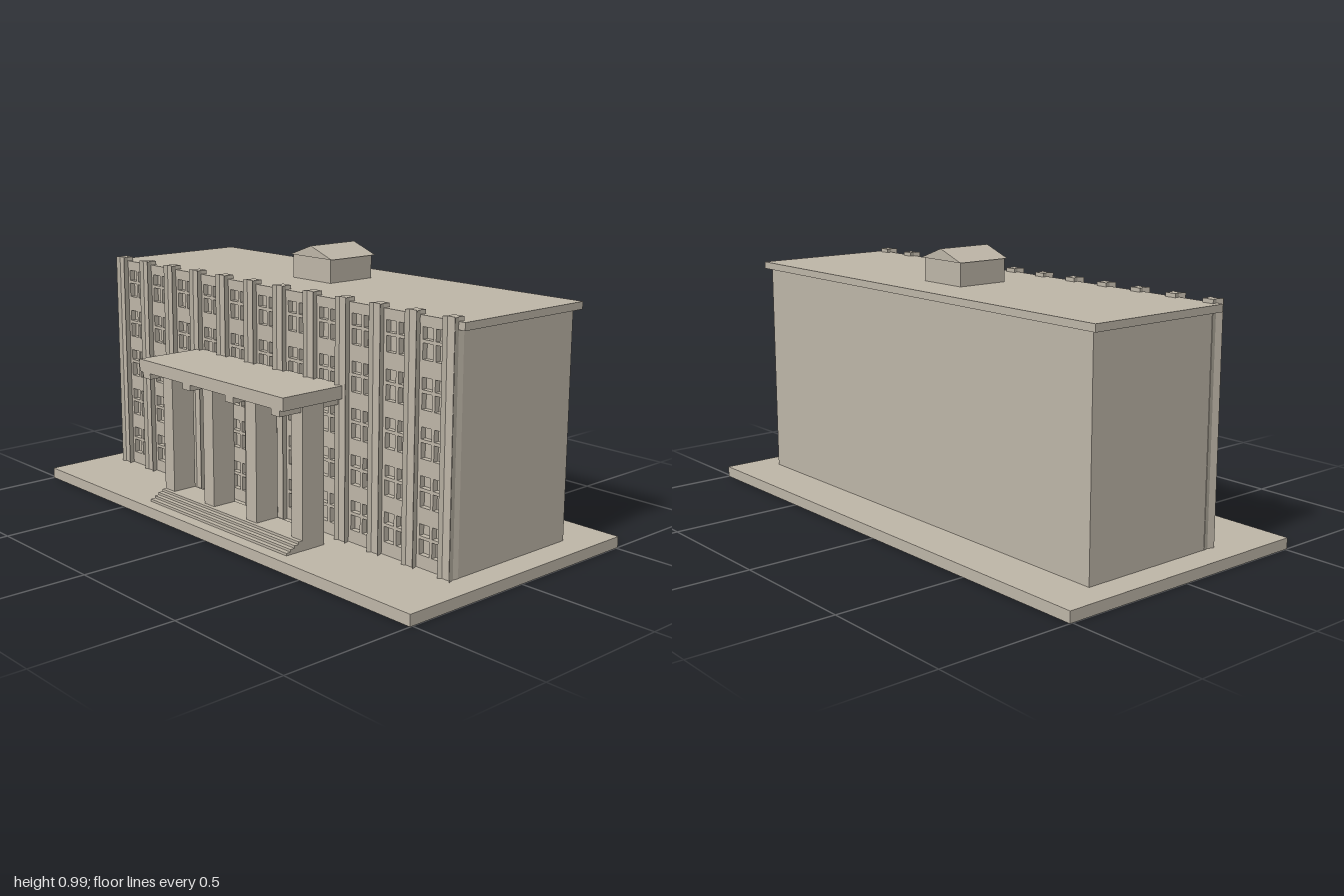
import * as THREE from 'three';

const stone = new THREE.MeshStandardMaterial({ color: 0xbdb5a7 });
stone.name = 'stone';

export function createModel() {
  const model = new THREE.Group();
  model.name = 'officeBuilding';

  const add = (name, geometry, x = 0, y = 0, z = 0) => {
    const mesh = new THREE.Mesh(geometry, stone);
    mesh.name = name;
    mesh.position.set(x, y, z);
    model.add(mesh);
    return mesh;
  };
  // Box given by its minimum and maximum on each axis
  const block = (name, x0, x1, y0, y1, z0, z1) =>
    add(name, new THREE.BoxGeometry(x1 - x0, y1 - y0, z1 - z0),
      (x0 + x1) / 2, (y0 + y1) / 2, (z0 + z1) / 2);
  const polygon = (points) => new THREE.Shape(points.map(([x, y]) => new THREE.Vector2(x, y)));
  const extrude = (shape, depth) => new THREE.ExtrudeGeometry(shape, { depth, bevelEnabled: false });

  // Ground slab, main body and flat roof
  block('base', -1, 1, 0, 0.04, -0.51, 0.51);
  block('body', -0.9, 0.9, 0.04, 0.84, -0.335, 0.195);
  block('roofSlab', -0.925, 0.925, 0.84, 0.866, -0.352, 0.217);

  // Facade bay: five floors of four-pane windows cut through a thin wall
  const rect = (x0, x1, y0, y1) => [[x0, y0], [x1, y0], [x1, y1], [x0, y1]];
  const wall = polygon(rect(-0.08, 0.08, 0.04, 0.84));
  for (let floor = 0; floor < 5; floor++) {
    const y = 0.085 + floor * 0.16;
    for (const [x0, x1] of [[-0.05, -0.006], [0.006, 0.05]]) {
      for (const [y0, y1] of [[0, 0.053], [0.064, 0.104]]) {
        wall.holes.push(polygon(rect(x0, x1, y + y0, y + y1).reverse()));
      }
    }
  }
  const bay = extrude(wall, 0.02);
  for (let i = 0; i < 11; i++) add('windowBay', bay, -0.8 + i * 0.16, 0, 0.195);

  // Fluted pilasters: narrow neck, flared grooved front (shape y is -z)
  const pilaster = extrude(polygon([
    [-0.022, -0.195], [-0.018, -0.215], [-0.026, -0.24], [-0.015, -0.23],
    [0.015, -0.23], [0.026, -0.24], [0.018, -0.215], [0.022, -0.195],
  ]), 0.84).rotateX(-Math.PI / 2);
  for (let i = 0; i < 12; i++) add('pilaster', pilaster, -0.88 + i * 0.16, 0.04, 0);

  // Entrance portico with beams over four columns
  block('canopy', -0.4, 0.4, 0.537, 0.582, 0.21, 0.488);
  for (const x of [-0.36, -0.12, 0.12, 0.36]) {
    block('column', x - 0.028, x + 0.028, 0.04, 0.537, 0.3, 0.395);
    block('canopyBeam', x - 0.022, x + 0.022, 0.515, 0.537, 0.21, 0.486);
  }

  // Entrance steps
  for (let i = 0; i < 4; i++) {
    block('step', -0.387, 0.387, 0.04 + i * 0.009, 0.049 + i * 0.009, 0.3, 0.465 - i * 0.018);
  }

  // Rooftop hut with a gable roof
  block('roofHut', -0.1, 0.1, 0.866, 0.95, -0.19, 0.01);
  add('hutRoof', extrude(polygon([[-0.11, 0.95], [0.11, 0.95], [0, 0.99]]), 0.212), 0, 0, -0.198);

  return model;
}
